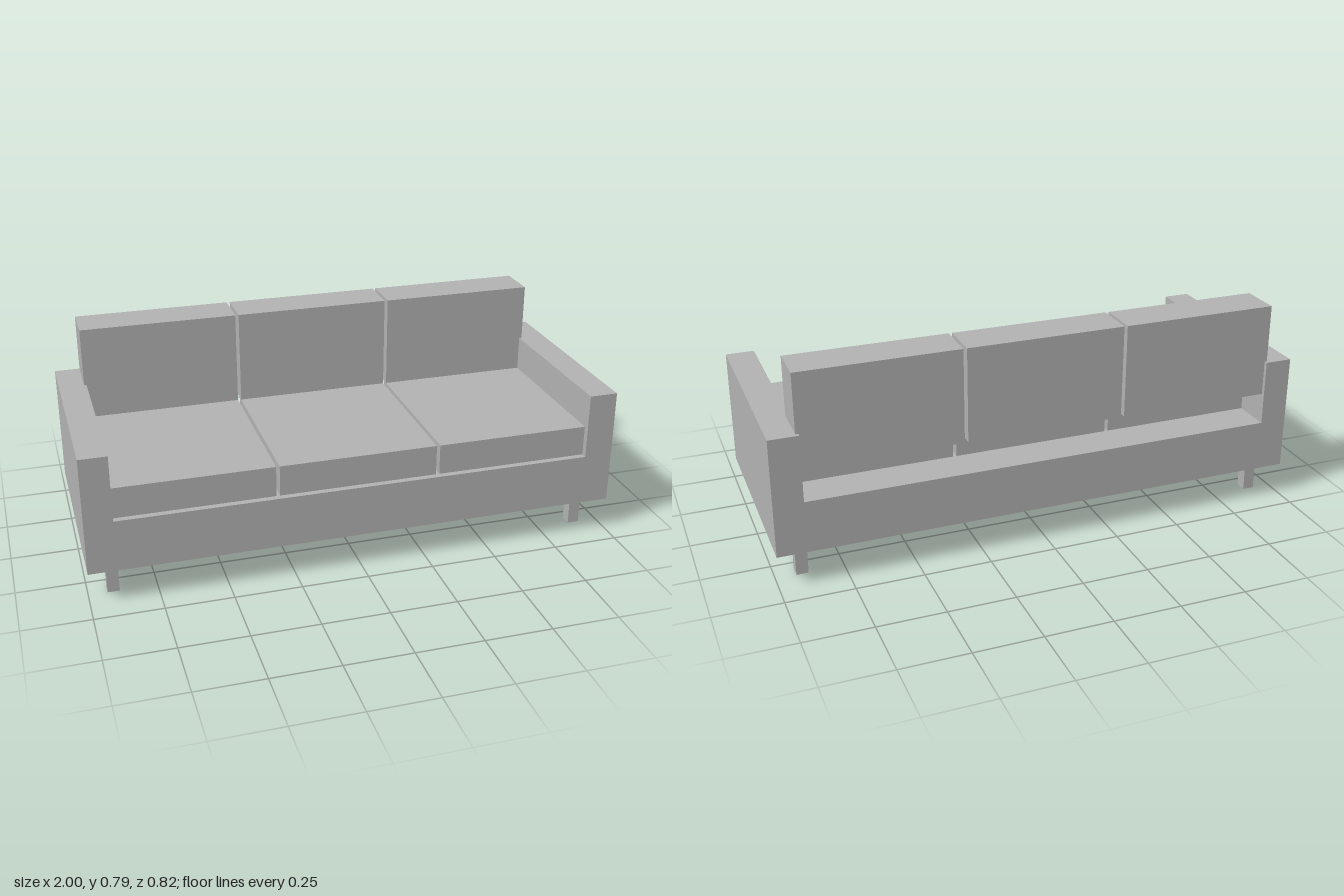
import * as THREE from 'three';

export function createModel() {
  const sofa = new THREE.Group();
  sofa.name = 'sofa';
  const grey = new THREE.MeshStandardMaterial({ color: 0xb2b2b2 });
  grey.name = 'grey';

  // Box given by its lower and upper limits on each axis
  function box(name, [x0, x1], [y0, y1], [z0, z1]) {
    const mesh = new THREE.Mesh(new THREE.BoxGeometry(x1 - x0, y1 - y0, z1 - z0), grey);
    mesh.position.set((x0 + x1) / 2, (y0 + y1) / 2, (z0 + z1) / 2);
    mesh.name = name;
    sofa.add(mesh);
  }

  // One-piece frame: base and both arms as a U-shaped section
  const depth = 0.818, bottom = 0.126, deck = 0.321, armTop = 0.571;
  const section = new THREE.Shape([
    [-1, bottom], [1, bottom], [1, armTop], [0.892, armTop],
    [0.892, deck], [-0.897, deck], [-0.897, armTop], [-1, armTop],
  ].map(([x, y]) => new THREE.Vector2(x, y)));
  const frameGeometry = new THREE.ExtrudeGeometry(section, { depth, bevelEnabled: false });
  frameGeometry.translate(0, 0, -depth / 2);
  const frame = new THREE.Mesh(frameGeometry, grey);
  frame.name = 'frame';
  sofa.add(frame);

  // Three seat cushions, with three back cushions resting on their rear edges
  const seatTop = 0.437, width = 0.594, pitch = 0.607;
  ['right', 'middle', 'left'].forEach((side, i) => {
    const centre = -0.002 + (i - 1) * pitch;
    const span = [centre - width / 2, centre + width / 2];
    box(side + 'SeatCushion', span, [deck, seatTop], [-0.26, 0.385]);
    box(side + 'BackCushion', span, [seatTop, 0.792], [-0.394, -0.234]);
  });

  // Four square legs
  const half = 0.022;
  for (const [side, x] of [['Right', -0.909], ['Left', 0.903]]) {
    for (const [end, z] of [['front', 0.317], ['rear', -0.316]]) {
      box(end + side + 'Leg', [x - half, x + half], [0, bottom], [z - half, z + half]);
    }
  }
  return sofa;
}
